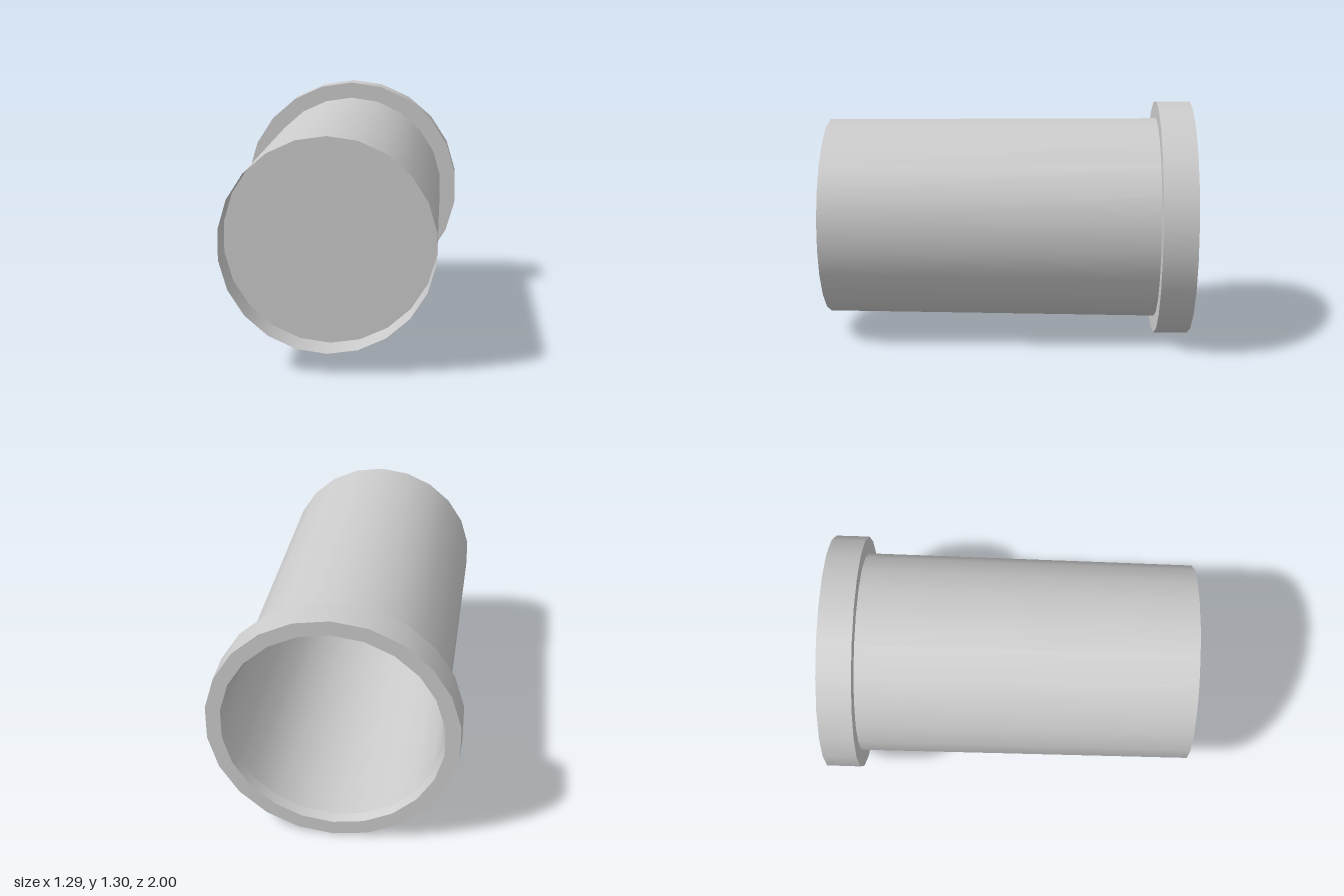
import * as THREE from 'three';

const SIDES = 22;
const CENTRE_Y = 0.652;

export function createModel() {
  const model = new THREE.Group();
  const material = new THREE.MeshStandardMaterial({ color: 0xcccccc, side: THREE.DoubleSide });

  // A smooth ring swept round the z axis between two [radius, z] points;
  // rising z faces outwards, falling z faces inwards.
  function addBand(parent, name, from, to) {
    const profile = [from, to].map(([r, z]) => new THREE.Vector2(r, z));
    const geometry = new THREE.LatheGeometry(profile, SIDES).rotateX(Math.PI / 2);
    const mesh = new THREE.Mesh(geometry, material);
    mesh.name = name;
    parent.add(mesh);
  }

  // Thin, slightly tapered barrel, open at both ends
  const barrel = new THREE.Group();
  barrel.name = 'barrel';
  addBand(barrel, 'barrelWall', [0.559, -0.95], [0.545, 1]);

  // Flat disc set back inside the front opening
  const disc = new THREE.Mesh(new THREE.CircleGeometry(0.546, SIDES, Math.PI / 2), material);
  disc.name = 'recessedDisc';
  disc.position.z = 0.8;
  barrel.add(disc);

  // Wide collar at the back, bevelled into the barrel opening
  const collar = new THREE.Group();
  collar.name = 'collar';
  addBand(collar, 'collarRim', [0.652, -1], [0.652, -0.815]);
  addBand(collar, 'collarFrontFace', [0.652, -0.815], [0.558, -0.815]);
  addBand(collar, 'collarBackFace', [0.574, -1], [0.652, -1]);
  addBand(collar, 'collarInnerBevel', [0.559, -0.95], [0.574, -1]);

  model.add(barrel, collar);
  model.position.y = CENTRE_Y;
  const root = new THREE.Group();
  root.name = 'flangedTube';
  root.add(model);
  return root;
}
